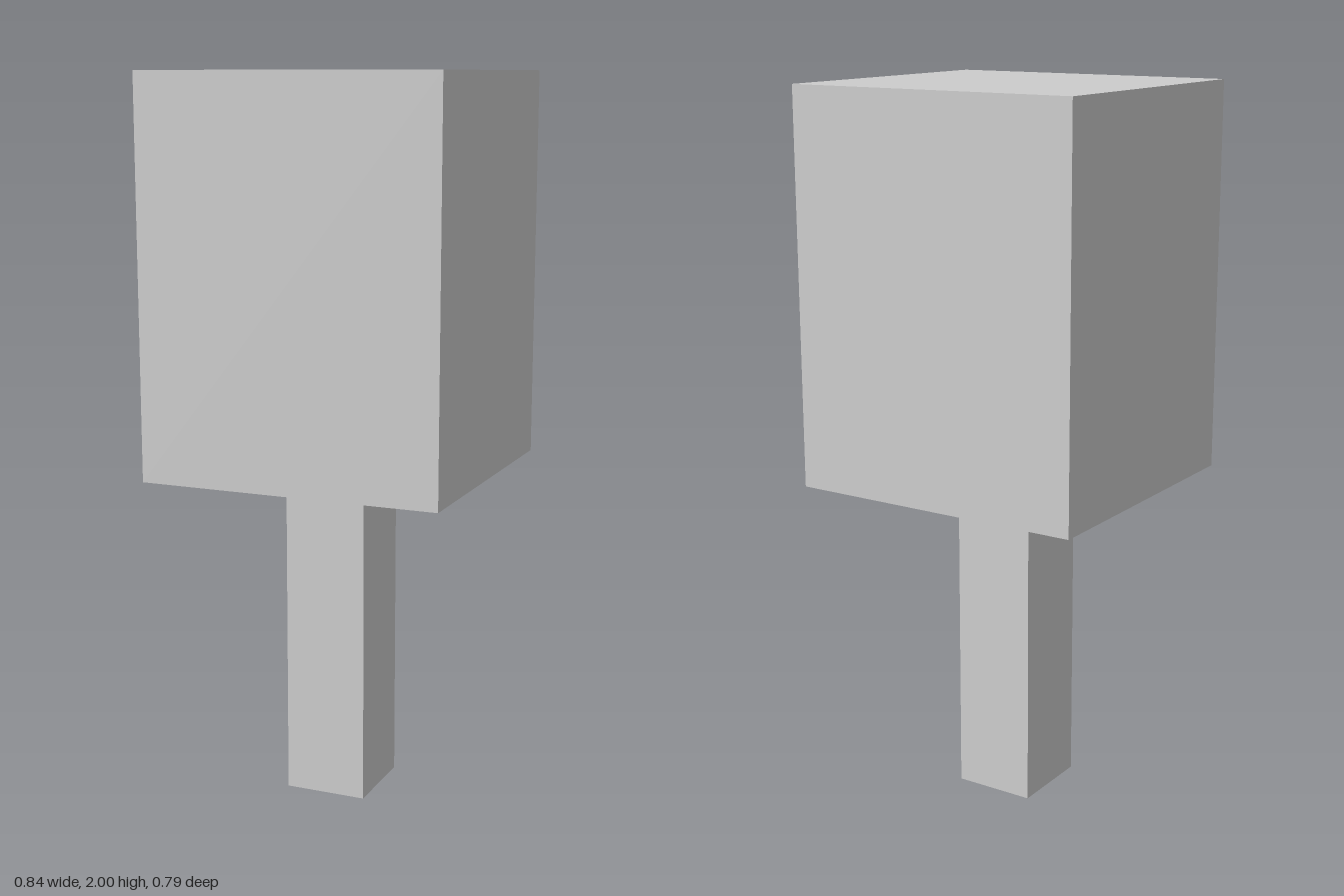
import * as THREE from 'three';

export function createModel() {
  const group = new THREE.Group();
  const material = new THREE.MeshStandardMaterial({ color: 0xcccccc, flatShading: true });

  // Box placed by its centre in x and z, and by its bottom and top in y
  const addBox = (name, width, depth, bottom, top, z) => {
    const mesh = new THREE.Mesh(new THREE.BoxGeometry(width, top - bottom, depth), material);
    mesh.position.set(0, (bottom + top) / 2, z);
    mesh.name = name;
    group.add(mesh);
  };

  // Slim trunk, set slightly forward of centre
  addBox('trunk', 0.23, 0.24, 0, 0.92, 0.02);
  // Block-shaped crown
  addBox('crown', 0.84, 0.79, 0.92, 2, 0);

  return group;
}
